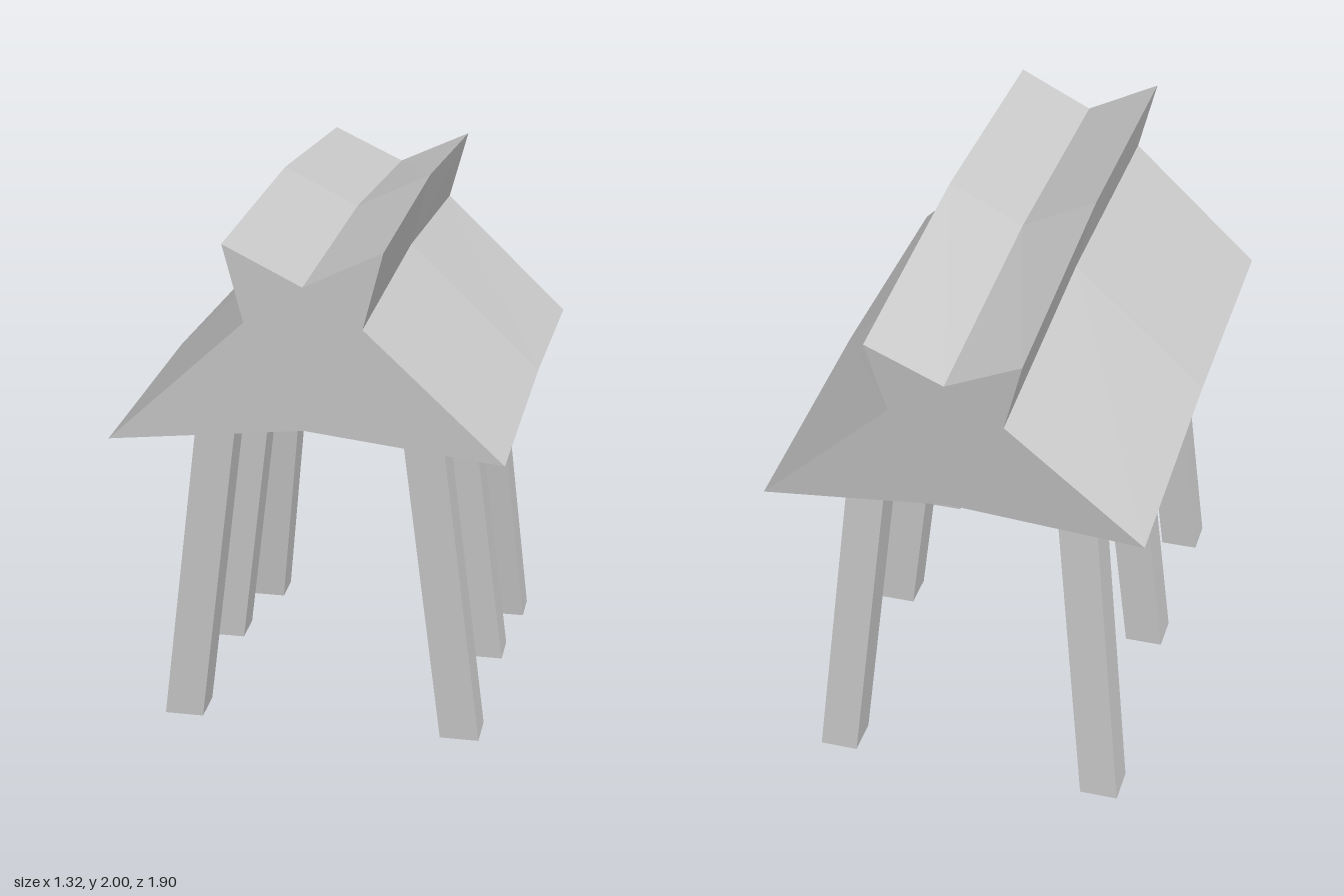
import * as THREE from 'three';

const material = new THREE.MeshStandardMaterial({ color: 0xcccccc, flatShading: true });

// Star-shaped beam whose rear half droops and leans
function makeBody() {
  const half = [[0, 1.38], [0.662, 1.305], [0.195, 1.74], [0.262, 2], [0, 1.87]];
  const left = half.slice(1, 4).reverse().map(([x, y]) => [-x, y]);
  const shape = new THREE.Shape([...half, ...left].map(([x, y]) => new THREE.Vector2(x, y)));
  const geometry = new THREE.ExtrudeGeometry(shape, { depth: 1.9, steps: 2, bevelEnabled: false });
  geometry.translate(0, 0, -0.95);
  const p = geometry.attributes.position;
  for (let i = 0; i < p.count; i++) {
    const x = p.getX(i), y = p.getY(i), z = p.getZ(i);
    if (z < -0.5) {
      const drop = x < -0.6 ? 0.053 : 0.08 + (y > 1.9 ? 0.01 : 0);
      p.setXYZ(i, x, y - drop, z + (2 - y) * 0.073);
    } else if (z < 0.5 && x > 0.6) {
      p.setY(i, y - 0.012); // slight sag of one lower edge at the bend
    }
  }
  geometry.computeVertexNormals();
  const body = new THREE.Mesh(geometry, material);
  body.name = 'starBody';
  return body;
}

// Square leg sheared between a foot centre and a top centre
function makeLeg(name, foot, top) {
  const geometry = new THREE.BoxGeometry(0.137, 1, 0.137);
  const p = geometry.attributes.position;
  for (let i = 0; i < p.count; i++) {
    const end = p.getY(i) < 0 ? foot : top;
    p.setXYZ(i, p.getX(i) + end[0], end[1], p.getZ(i) + end[2]);
  }
  geometry.computeVertexNormals();
  const leg = new THREE.Mesh(geometry, material);
  leg.name = name;
  return leg;
}

export function createModel() {
  const group = new THREE.Group();
  group.name = 'starStool';
  group.add(makeBody());

  // Three pairs of splayed legs, ends tucked into the body
  const pairs = [
    ['frontLeg', [0.497, 0.16, 0.645], [0.347, 1.36, 0.645]],
    ['middleLeg', [0.497, 0.16, 0.007], [0.347, 1.36, 0.029]],
    ['rearLeg', [0.497, 0, -0.697], [0.362, 1.3, -0.592]],
  ];
  for (const [name, foot, top] of pairs) {
    for (const [side, s] of [['Left', 1], ['Right', -1]]) {
      group.add(makeLeg(name + side, [s * foot[0], foot[1], foot[2]], [s * top[0], top[1], top[2]]));
    }
  }
  return group;
}
